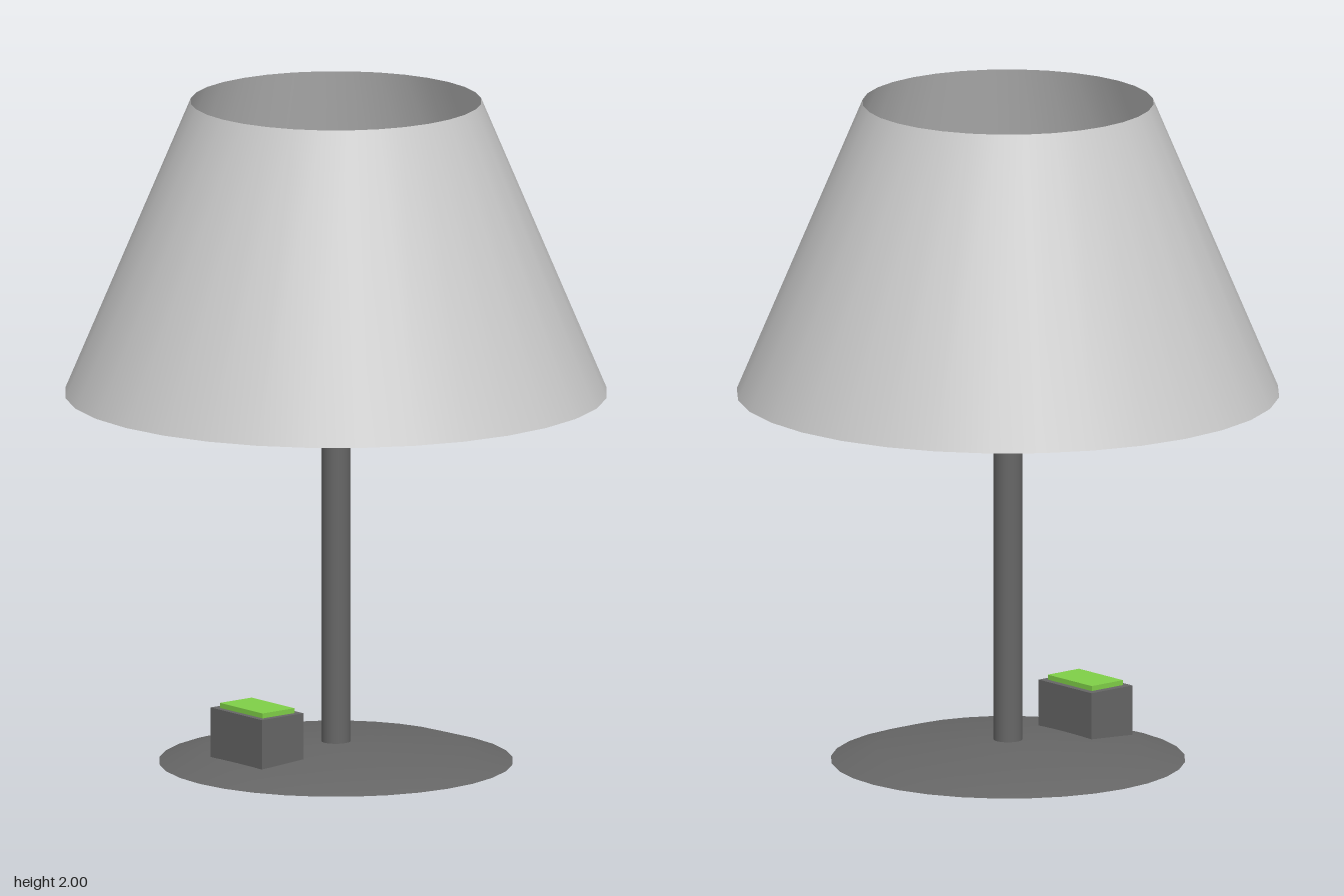
import * as THREE from 'three';

const SEGMENTS = 32;
const paint = (color = 0xcccccc, side = THREE.FrontSide) => new THREE.MeshStandardMaterial({ color, side });
const light = paint();
const dark = paint(0x666666);
const green = paint(0x80d048);

function add(group, name, geometry, material, x = 0, y = 0, z = 0) {
  const mesh = new THREE.Mesh(geometry, material);
  mesh.name = name;
  mesh.position.set(x, y, z);
  group.add(mesh);
  return mesh;
}

const lathe = (points) => new THREE.LatheGeometry(points.map(([r, y]) => new THREE.Vector2(r, y)), SEGMENTS);

export function createModel() {
  const lamp = new THREE.Group();
  lamp.name = 'tableLamp';

  // Shallow domed foot with a flat underside
  add(lamp, 'base', lathe([[0.527, 0], [0.395, 0.04], [0.1, 0.06], [0, 0.06]]), dark);
  add(lamp, 'baseUnderside', new THREE.CircleGeometry(0.527, SEGMENTS).rotateX(Math.PI / 2), dark);

  // Upright stem
  add(lamp, 'stem', new THREE.CylinderGeometry(0.043, 0.043, 1.4, 24), dark, 0, 0.75, 0);

  // Bulb: narrow neck flaring into a round top
  const profile = [[0.043, 1.44], [0.048, 1.475], [0.07, 1.52], [0.092, 1.565]];
  for (let i = 0; i <= 10; i++) {
    const a = (i / 10) * Math.PI / 2;
    profile.push([0.1 * Math.cos(a), 1.61 + 0.1 * Math.sin(a)]);
  }
  add(lamp, 'bulb', lathe(profile), light);

  // Open conical shade
  const shade = new THREE.CylinderGeometry(0.433, 0.807, 0.885, SEGMENTS, 1, true);
  add(lamp, 'shade', shade, paint(0xcccccc, THREE.DoubleSide), 0, 1.5575, 0);

  // Wire ring inside the shade and four spokes rising to it from the stem
  add(lamp, 'shadeRing', new THREE.TorusGeometry(0.64, 0.008, 8, 64).rotateX(Math.PI / 2), dark, 0, 1.48, 0);
  for (let i = 0; i < 4; i++) {
    const a = 0.72 + i * Math.PI / 2;
    const path = new THREE.LineCurve3(
      new THREE.Vector3(0.03 * Math.cos(a), 1.445, 0.03 * Math.sin(a)),
      new THREE.Vector3(0.64 * Math.cos(a), 1.48, 0.64 * Math.sin(a)));
    add(lamp, 'spoke', new THREE.TubeGeometry(path, 1, 0.005, 6), dark);
  }

  // Switch box on the foot with a push button
  add(lamp, 'switchBox', new THREE.BoxGeometry(0.24, 0.15, 0.16), dark, -0.01, 0.115, 0.295);
  add(lamp, 'switchButton', new THREE.BoxGeometry(0.2, 0.03, 0.122), green, -0.008, 0.19, 0.296);

  return lamp;
}
